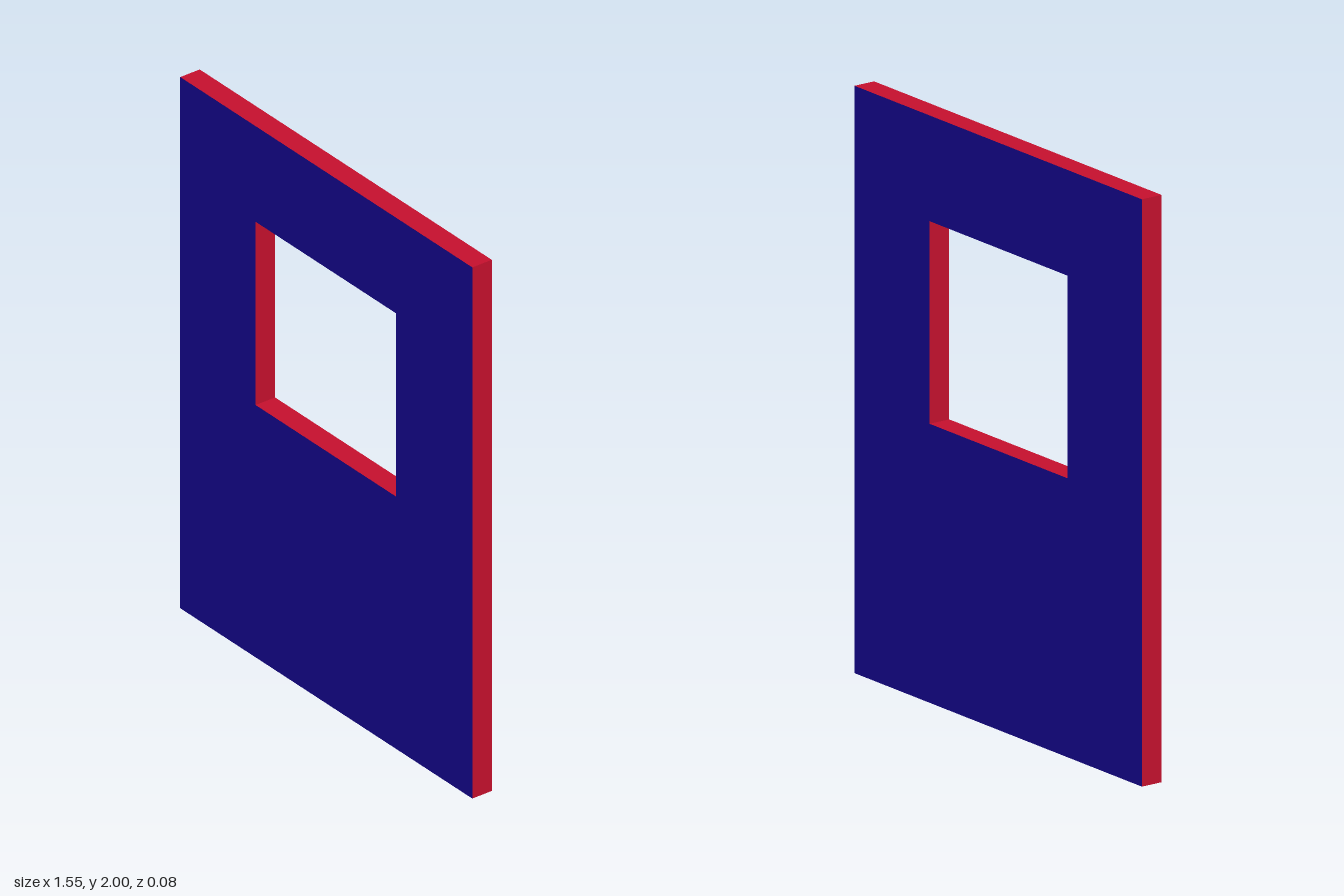
import * as THREE from 'three';

const HALF_WIDTH = 0.775, HEIGHT = 2, DEPTH = 0.08;
const WINDOW = { left: -0.375, right: 0.37, bottom: 0.95, top: 1.64 };

// Trace a rectangle into a Shape or Path
function traceRect(path, x0, y0, x1, y1) {
  path.moveTo(x0, y0);
  path.lineTo(x1, y0);
  path.lineTo(x1, y1);
  path.lineTo(x0, y1);
  path.closePath();
  return path;
}

export function createModel() {
  const group = new THREE.Group();
  group.name = 'windowPanel';

  // Panel outline with the window opening cut through it
  const outline = traceRect(new THREE.Shape(), -HALF_WIDTH, 0, HALF_WIDTH, HEIGHT);
  outline.holes.push(traceRect(new THREE.Path(), WINDOW.left, WINDOW.bottom, WINDOW.right, WINDOW.top));

  const geometry = new THREE.ExtrudeGeometry(outline, { depth: DEPTH, bevelEnabled: false });
  geometry.translate(0, 0, -DEPTH / 2);

  // Blue front and back faces, red outer edges and window reveals
  const faceMaterial = new THREE.MeshStandardMaterial({ color: 0x220cc8 });
  const edgeMaterial = new THREE.MeshStandardMaterial({ color: 0xc8102e });

  const panel = new THREE.Mesh(geometry, [faceMaterial, edgeMaterial]);
  panel.name = 'panel';
  group.add(panel);
  return group;
}
